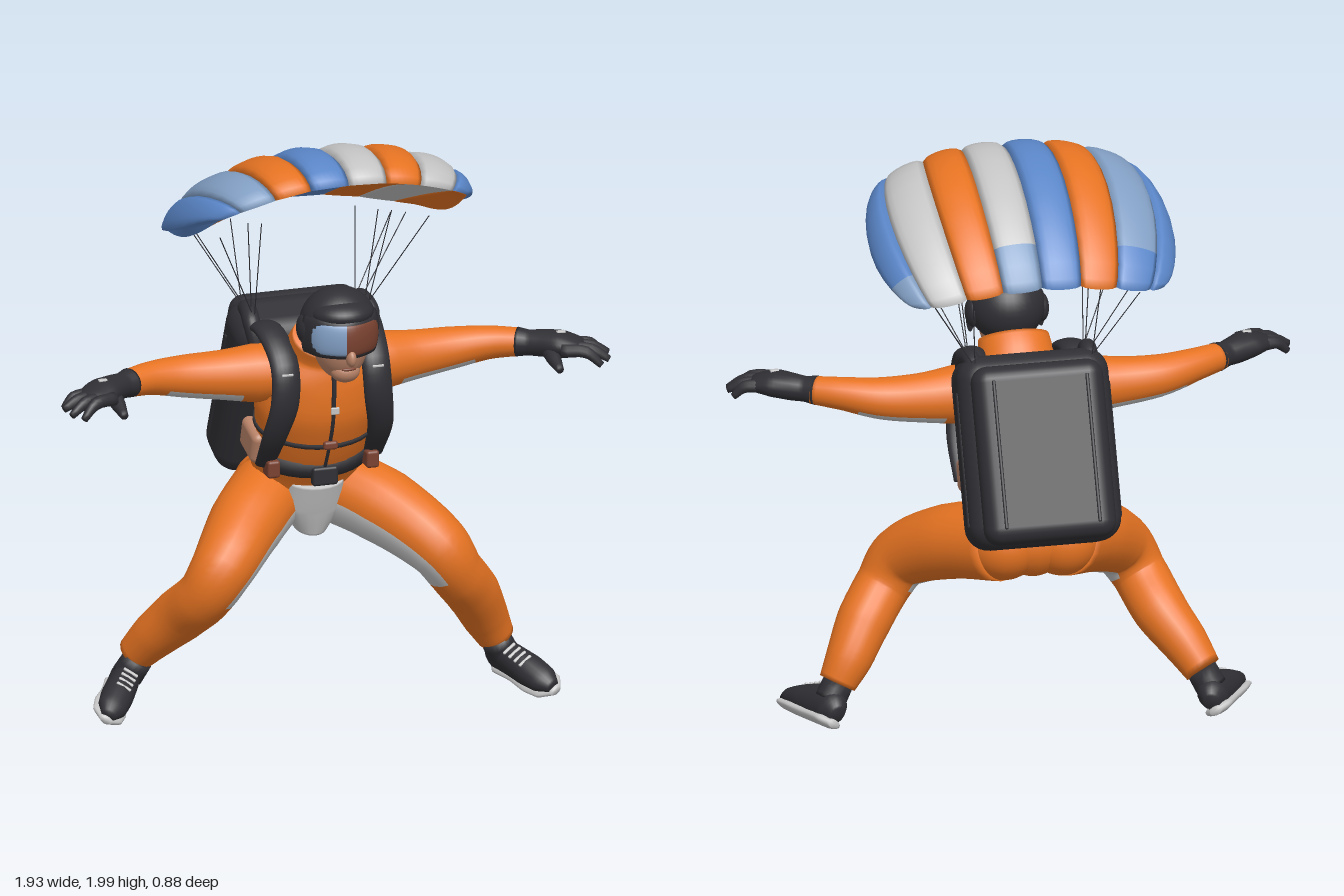
import * as THREE from 'three';
import { RoundedBoxGeometry } from 'three/addons/geometries/RoundedBoxGeometry.js';

const V = (x, y, z) => new THREE.Vector3(x, y, z);
const lerpList = (list, t) => {
  const i = Math.min(Math.floor(t), list.length - 2);
  return THREE.MathUtils.lerp(list[i], list[i + 1], t - i);
};

// Skin closed rings into a capped surface; pick(i, j) gives each quad a material index.
function loft(rings, pick) {
  const n = rings[0].length, pos = [], buckets = [[], [], []];
  rings.forEach(r => r.forEach(p => pos.push(p.x, p.y, p.z)));
  for (let i = 0; i < rings.length - 1; i++) {
    for (let j = 0; j < n; j++) {
      const k = (j + 1) % n, a = i * n + j, b = i * n + k, c = b + n, d = a + n;
      buckets[pick(i, j)].push(a, b, c, a, c, d);
    }
  }
  [0, rings.length - 1].forEach(i => {
    const c = rings[i].reduce((s, p) => s.add(p), V(0, 0, 0)).divideScalar(n);
    const id = pos.length / 3;
    pos.push(c.x, c.y, c.z);
    for (let j = 0; j < n; j++) {
      const a = i * n + j, b = i * n + (j + 1) % n;
      buckets[0].push(...(i ? [id, a, b] : [id, b, a]));
    }
  });
  const g = new THREE.BufferGeometry();
  g.setAttribute('position', new THREE.Float32BufferAttribute(pos, 3));
  g.setIndex(buckets.flat());
  let start = 0;
  buckets.forEach((b, m) => { if (b.length) g.addGroup(start, b.length, m); start += b.length; });
  g.computeVertexNormals();
  return g;
}

// Elliptical tube through points [x, y, z, radiusA, radiusB]; radiusA lies along ref.
function limb(pts, ref, pick, seg = 24, sides = 20) {
  const curve = new THREE.CatmullRomCurve3(pts.map(p => V(p[0], p[1], p[2])));
  const ra = pts.map(p => p[3]), rb = pts.map(p => p[4] ?? p[3]), rings = [];
  for (let i = 0; i <= seg; i++) {
    const t = i / seg, f = t * (pts.length - 1), P = curve.getPoint(t), T = curve.getTangent(t);
    const A = ref.clone().addScaledVector(T, -ref.dot(T)).normalize(), B = T.clone().cross(A);
    rings.push(Array.from({ length: sides }, (_, j) => {
      const q = j / sides * Math.PI * 2;
      return P.clone().addScaledVector(A, Math.cos(q) * lerpList(ra, f))
        .addScaledVector(B, Math.sin(q) * lerpList(rb, f));
    }));
  }
  return loft(rings, (i, j) => {
    const q = (j + 0.5) / sides * Math.PI * 2;
    return pick ? pick(i / seg, Math.cos(q), Math.sin(q)) : 0;
  });
}

// One station of the canopy; u runs from -4 to 4 across the span, b is the cell inflation.
const HALF = 12;
function canopyRing(u, b) {
  const k = Math.abs(u), sg = Math.sign(u);
  const x = sg * lerpList([0, 0.133, 0.256, 0.375, 0.44], k);
  const drop = lerpList([0, 0.005, 0.025, 0.055, 0.075], k);
  const sag = lerpList([0, 0, 0, 0.01, 0.045], k);
  const a = sg * lerpList([0, 0.13, 0.33, 0.65, 1.1], k);
  const s = lerpList([1, 1, 0.98, 0.93, 0.8], k) * (0.96 + 0.04 * b);
  const h = lerpList([0.165, 0.165, 0.158, 0.145, 0.1], k) * (0.82 + 0.18 * b);
  return Array.from({ length: HALF * 2 }, (_, j) => {
    const c = 0.5 - 0.5 * Math.cos(Math.PI * j / HALF), arc = Math.max(0, Math.sin(Math.PI * c));
    const o = j <= HALF ? h * Math.pow(arc, 0.6) : 0.02 * arc;
    return V(x + Math.sin(a) * o, 1.8 + (c - 0.5) * 0.25 * s - drop - sag * arc + Math.cos(a) * o, 0.063 + (c - 0.5) * 0.68 * s);
  });
}

export function createModel() {
  const root = new THREE.Group();
  const mat = (name, color) => Object.assign(new THREE.MeshStandardMaterial({ color }), { name });
  const orange = mat('orange fabric', 0xe67322), grey = mat('light grey fabric', 0xc4c4c4);
  const black = mat('black gear', 0x2f2f34), blue = mat('blue fabric', 0x5a86c8);
  const pale = mat('pale blue', 0x829fc4), skin = mat('skin', 0xb98368), brown = mat('brown', 0x7a4230);
  const add = (name, geo, m, parent = root) => {
    const mesh = new THREE.Mesh(geo, m);
    mesh.name = name;
    parent.add(mesh);
    return mesh;
  };
  const box = (name, m, w, h, d, x, y, z, r = 0.01, parent = root) => {
    const mesh = add(name, new RoundedBoxGeometry(w, h, d, 4, r), m, parent);
    mesh.position.set(x, y, z);
    return mesh;
  };
  const ball = (name, m, sx, sy, sz, x, y, z) => {
    const mesh = add(name, new THREE.SphereGeometry(1, 32, 20), m);
    mesh.scale.set(sx, sy, sz);
    mesh.position.set(x, y, z);
  };
  const X = V(1, 0, 0), Y = V(0, 1, 0);

  // Canopy: eight inflated cells with their own lower colours and a few rear patches
  const tops = [blue, pale, orange, blue, grey, orange, grey, blue];
  const unders = [orange, grey, orange, blue, blue, orange, grey, orange];
  const patches = { 1: blue, 4: pale, 7: pale };
  tops.forEach((top, c) => {
    const rings = [];
    for (let i = 0; i <= 8; i++) rings.push(canopyRing(c - 4 + i / 8, Math.sqrt(Math.max(0, Math.sin(Math.PI * i / 8)))));
    add('canopyCell', loft(rings, (i, j) => j >= HALF ? 1 : j < 3 ? 2 : 0), [top, unders[c], patches[c] ?? top]);
  });

  // Torso with grey crotch panel, belt, chest strap and zip
  add('torso', limb([[0, 0.62, -0.08, 0.07, 0.08], [0, 0.71, -0.1, 0.18, 0.14], [0, 0.82, -0.05, 0.19, 0.14],
    [0, 0.95, 0.02, 0.2, 0.155], [0, 1.08, 0.07, 0.22, 0.165], [0, 1.2, 0.1, 0.2, 0.14],
    [0, 1.275, 0.13, 0.13, 0.11], [0, 1.335, 0.175, 0.12, 0.095]], X,
  (t, c, s) => t < 0.27 && s < -0.8 ? 1 : 0, 36, 32), [orange, grey]);
  add('belt', limb([[0, 0.865, -0.025, 0.207, 0.162], [0, 0.925, -0.005, 0.212, 0.165]], X, null, 2, 32), black);
  add('chestStrap', limb([[0, 0.99, 0.037, 0.213, 0.167], [0, 1.004, 0.042, 0.213, 0.168]], X, null, 2, 32), black);
  box('beltBuckle', black, 0.09, 0.065, 0.03, 0, 0.825, 0.14);
  box('chestBuckle', brown, 0.05, 0.03, 0.025, 0, 0.95, 0.2);
  box('zipPull', grey, 0.03, 0.025, 0.009, 0, 1.085, 0.25, 0.004);
  add('zip', limb([[0, 0.84, 0.13, 0.008], [0, 0.93, 0.178, 0.008], [0, 1.03, 0.222, 0.008],
    [0, 1.14, 0.238, 0.008], [0, 1.23, 0.235, 0.008]], X, null, 16, 8), black);
  add('crotchFront', limb([[0, 0.61, -0.02, 0.06, 0.07], [0, 0.69, 0.012, 0.105, 0.065], [0, 0.79, 0.045, 0.1, 0.065]], X), grey);

  // Head, helmet, ear cups and goggles
  add('neck', limb([[0, 1.24, 0.15, 0.07], [0, 1.34, 0.24, 0.065]], X, null, 4), skin);
  ball('face', skin, 0.09, 0.127, 0.11, 0, 1.346, 0.3);
  ball('chin', skin, 0.05, 0.038, 0.045, 0, 1.258, 0.352);
  ball('nose', skin, 0.017, 0.03, 0.026, 0, 1.32, 0.413);
  ball('mouth', brown, 0.026, 0.006, 0.008, 0, 1.275, 0.391);
  ball('helmet', black, 0.13, 0.122, 0.125, 0, 1.41, 0.278);
  ball('helmetBrow', black, 0.108, 0.05, 0.1, 0, 1.455, 0.315);
  const band = (r, f, z) => [[-0.122, 1.385, 0.29 + z, r, f], [-0.09, 1.384, 0.365 + z, r, f], [0, 1.382, 0.407 + z, r, f],
    [0.09, 1.384, 0.365 + z, r, f], [0.122, 1.385, 0.29 + z, r, f]];
  add('goggleFrame', limb(band(0.066, 0.016, 0), Y), black);
  add('goggleLens', limb(band(0.054, 0.013, 0.008), Y, t => t < 0.12 || t > 0.8 ? 2 : t < 0.45 ? 0 : 1), [pale, brown, black]);

  // Backpack, tilted with the spine
  const pack = new THREE.Group();
  pack.name = 'backpack';
  pack.position.set(0, 1.07, -0.185);
  pack.rotation.x = 0.42;
  root.add(pack);
  box('packBody', black, 0.52, 0.65, 0.23, 0, 0, 0.01, 0.08, pack);
  box('packPanel', black, 0.45, 0.6, 0.14, 0, -0.015, -0.09, 0.055, pack);
  for (const s of [1, -1]) {
    box('packRib', black, 0.02, 0.46, 0.02, s * 0.255, -0.02, -0.02, 0.009, pack);
    box('packSeam', black, 0.012, 0.5, 0.012, s * 0.16, -0.015, -0.16, 0.005, pack);
  }

  for (const s of [1, -1]) {
    ball('earCup', black, 0.025, 0.05, 0.046, s * 0.118, 1.395, 0.275);

    // Arms with a pale underside patch
    add('arm', limb([[s * 0.1, 1.19, 0.08, 0.09, 0.1], [s * 0.22, 1.188, 0.07, 0.1, 0.098], [s * 0.34, 1.19, 0.06, 0.084, 0.08],
      [s * 0.48, 1.2, 0.06, 0.071], [s * 0.6, 1.215, 0.09, 0.056], [s * 0.7, 1.22, 0.135, 0.047]], Y,
    (t, c) => c < -0.55 && t > 0.27 && t < 0.68 ? 1 : 0), [orange, grey]);

    // Gloves
    add('glove', limb([[s * 0.685, 1.22, 0.128, 0.05], [s * 0.72, 1.22, 0.15, 0.043], [s * 0.76, 1.222, 0.175, 0.046, 0.052],
      [s * 0.81, 1.225, 0.21, 0.044, 0.066], [s * 0.86, 1.22, 0.245, 0.03, 0.06], [s * 0.885, 1.215, 0.26, 0.015, 0.04]], Y), black);
    box('gloveTab', grey, 0.03, 0.008, 0.018, s * 0.81, 1.268, 0.215, 0.003);
    [[0.95, 1.185, 0.22], [0.962, 1.195, 0.26], [0.95, 1.185, 0.305], [0.915, 1.175, 0.33]].forEach(([x, y, z], i) => {
      const bx = 0.875 - i * 0.018, bz = 0.21 + i * 0.025;
      add('finger', limb([[s * (bx - 0.03), 1.22, bz - 0.01, 0.024], [s * (bx + x) / 2, 1.218, (bz + z) / 2, 0.021],
        [s * x, y, z, 0.012]], Y, null, 8, 10), black);
    });
    add('thumb', limb([[s * 0.77, 1.215, 0.19, 0.03], [s * 0.77, 1.19, 0.26, 0.025], [s * 0.77, 1.17, 0.325, 0.013]],
      Y, null, 8, 10), black);

    // Bent legs, pale along the inner thigh
    const path = s > 0
      ? [[0.1, 0.72, -0.11, 0.13, 0.14], [0.24, 0.665, 0.06, 0.128], [0.375, 0.56, 0.21, 0.108], [0.435, 0.47, 0.215, 0.095],
        [0.515, 0.37, 0.155, 0.093], [0.58, 0.26, 0.1, 0.08], [0.625, 0.18, 0.08, 0.064]]
      : [[-0.1, 0.72, -0.11, 0.13, 0.14], [-0.24, 0.655, 0.04, 0.128], [-0.37, 0.55, 0.17, 0.108], [-0.425, 0.46, 0.16, 0.095],
        [-0.475, 0.36, 0.05, 0.093], [-0.54, 0.27, -0.03, 0.08], [-0.59, 0.19, -0.09, 0.064]];
    add('leg', limb(path, V(s * 0.7, 0.7, 0), (t, c) => c < -0.55 && t < 0.46 ? 1 : 0, 36), [orange, grey]);
    ball('hip', orange, 0.13, 0.13, 0.135, s * 0.1, 0.72, -0.115);

    // Shoes with pale soles, rolled outwards
    const shoe = new THREE.Group();
    shoe.name = 'shoe';
    shoe.position.set(s > 0 ? 0.69 : -0.66, 0.052, s > 0 ? 0.07 : -0.1);
    shoe.rotation.set(0.1, s > 0 ? 0.33 : -0.48, s * 0.55, 'YXZ');
    root.add(shoe);
    add('shoeUpper', limb([[0, 0.04, -0.085, 0.025, 0.03], [0, 0.055, -0.045, 0.05, 0.06], [0, 0.06, 0.03, 0.052, 0.066],
      [0, 0.05, 0.12, 0.056, 0.052], [0, 0.038, 0.19, 0.05, 0.035], [0, 0.026, 0.235, 0.024, 0.017]], X), black, shoe);
    add('shoeSole', limb([[0, 0.01, -0.09, 0.02, 0.014], [0, 0.01, -0.05, 0.052, 0.02], [0, 0.01, 0.04, 0.05, 0.02],
      [0, 0.01, 0.13, 0.061, 0.02], [0, 0.01, 0.2, 0.055, 0.018], [0, 0.012, 0.245, 0.02, 0.012]], X), grey, shoe);
    add('shoeCollar', limb([[0, 0.08, -0.01, 0.054], [0, 0.15, -0.012, 0.052]], X, null, 3), black, shoe);
    for (let i = 0; i < 4; i++) {
      box('lace', grey, 0.055, 0.009, 0.011, 0, 0.122 - i * 0.008, 0.052 + i * 0.024, 0.004, shoe).rotation.x = 0.4;
    }

    // Harness: shoulder strap, side pad, buckles and riser
    add('shoulderStrap', limb([[s * 0.19, 1.29, -0.06, 0.05, 0.022], [s * 0.175, 1.335, 0.05, 0.05, 0.024],
      [s * 0.16, 1.25, 0.19, 0.05, 0.024], [s * 0.165, 1.12, 0.215, 0.05, 0.024], [s * 0.185, 1.0, 0.175, 0.045, 0.024],
      [s * 0.19, 0.87, 0.08, 0.035, 0.018]], X), black);
    box('strapBuckle', grey, 0.04, 0.009, 0.009, s * 0.16, 1.22, 0.226, 0.003);
    box('hipPad', skin, 0.05, 0.115, 0.145, s * 0.2, 0.925, -0.015, 0.024).rotation.x = 0.3;
    box('hipBuckle', brown, 0.045, 0.06, 0.06, s * 0.175, 0.86, 0.105);
    add('riser', limb([[s * 0.2, 1.25, 0.03, 0.025], [s * 0.21, 1.34, 0.0, 0.03], [s * 0.2, 1.365, -0.08, 0.03],
      [s * 0.2, 1.3, -0.16, 0.025]], X), black);

    // Suspension lines
    [[0.23, 1.74, 0.16, 0.0], [0.23, 1.7, 0.02, -0.03], [0.37, 1.64, -0.1, -0.07], [0.35, 1.61, -0.2, -0.12],
      [0.37, 1.7, 0.14, -0.01], [0.22, 1.65, -0.19, -0.13]].forEach(([x, y, z, z0]) => {
      add('line', limb([[s * 0.2, 1.36, z0, 0.0018], [s * x, y, z, 0.0018]], X, null, 1, 6), black);
    });
  }
  return root;
}
